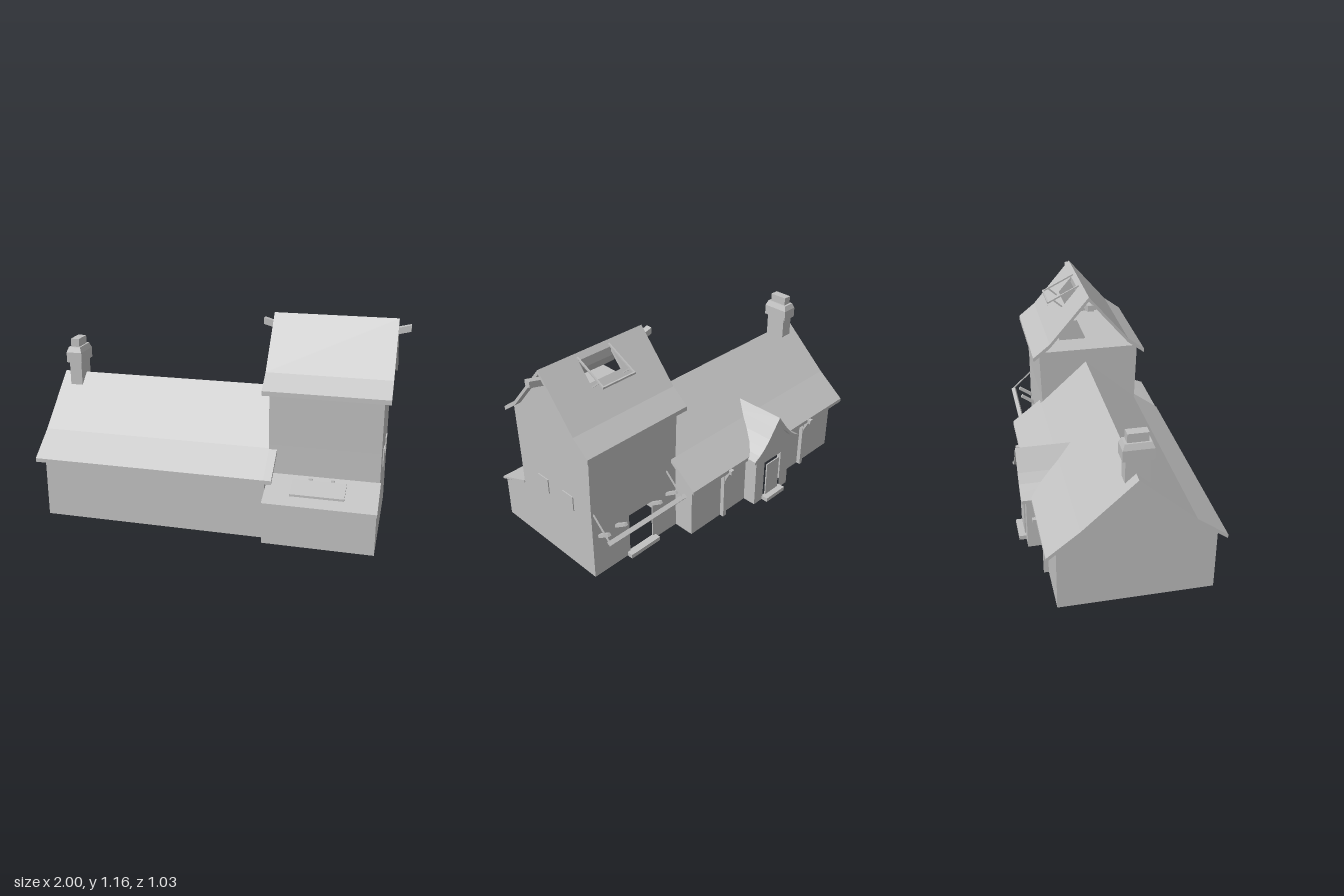
import * as THREE from 'three';

export function createModel() {
  const model = new THREE.Group();
  model.name = 'farmhouse';
  const stone = new THREE.MeshStandardMaterial({ color: 0xc0c0c0, side: THREE.DoubleSide });
  stone.name = 'plain grey';

  const add = (name, geo) => {
    const m = new THREE.Mesh(geo, stone);
    m.name = name;
    model.add(m);
    return m;
  };
  const shape = (pts) => new THREE.Shape(pts.map(([a, b]) => new THREE.Vector2(a, b)));
  const rect = (a0, a1, b0, b1) => [[a0, b0], [a1, b0], [a1, b1], [a0, b1]];
  const extrude = (pts, depth) => new THREE.ExtrudeGeometry(shape(pts), { depth, bevelEnabled: false });
  // box given by its limits
  const box = (name, x0, x1, y0, y1, z0, z1) => {
    const m = add(name, new THREE.BoxGeometry(x1 - x0, y1 - y0, z1 - z0));
    m.position.set((x0 + x1) / 2, (y0 + y1) / 2, (z0 + z1) / 2);
    return m;
  };
  // solid from a closed (z, y) outline, running from x0 to x1
  const alongX = (name, pts, x0, x1) =>
    add(name, extrude(pts.map(([z, y]) => [-z, y]), x1 - x0).rotateY(Math.PI / 2).translate(x0, 0, 0));
  // slab from an open (z, y) line, thickened by an offset
  const band = (name, pts, dz, dy, x0, x1) =>
    alongX(name, [...pts, ...pts.map(([z, y]) => [z + dz, y + dy]).reverse()], x0, x1);
  // thin wall standing across x, outline in (z, y)
  const sideWall = (name, x, pts) =>
    add(name, new THREE.ShapeGeometry(shape(pts.map(([z, y]) => [-z, y]))).rotateY(Math.PI / 2).translate(x, 0, 0));
  // thin wall facing front or back, outline in (x, y)
  const faceWall = (name, z, pts, hole) => {
    const s = shape(pts);
    if (hole) s.holes.push(shape(hole));
    add(name, new THREE.ShapeGeometry(s).translate(0, 0, z));
  };
  // square bar between two points
  const bar = (name, a, b, t) => {
    const p = new THREE.Vector3(...a), q = new THREE.Vector3(...b);
    const m = add(name, new THREE.BoxGeometry(t, t, p.distanceTo(q)));
    m.position.copy(p).lerp(q, 0.5);
    m.lookAt(q);
  };

  // long house
  const houseRoof = [[0.465, 0.355], [0.3, 0.475], [0, 0.74], [-0.28, 0.485], [-0.45, 0.352]];
  band('houseRoof', houseRoof, 0, -0.022, -1, 0.302);
  band('houseRoofFrontEnd', houseRoof.slice(0, 2), 0, -0.022, 0.302, 0.345);
  band('houseRoofBackEnd', houseRoof.slice(3), 0, -0.022, 0.302, 0.345);
  const gable = [[0.425, 0], [0.425, 0.365], [0.3, 0.46], [0, 0.725], [-0.28, 0.47], [-0.395, 0.38], [-0.395, 0]];
  sideWall('houseGableRight', -0.96, gable);
  sideWall('houseEndFront', 0.3, [[0.425, 0], [0.425, 0.365], [0.3, 0.46], [0.3, 0]]);
  sideWall('houseEndBack', 0.3, [[-0.27, 0], [-0.27, 0.475], [-0.395, 0.38], [-0.395, 0]]);
  faceWall('houseFrontWall', 0.425, rect(-0.96, 0.3, 0, 0.365));
  faceWall('houseBackWallRight', -0.395, rect(-0.96, -0.45, 0, 0.38));
  faceWall('houseBackWallLeft', -0.395, rect(-0.15, 0.3, 0, 0.38));

  // eave posts along the back
  for (const x of [-0.67, 0.05]) {
    box('eavePost', x - 0.012, x + 0.012, 0, 0.35, -0.42, -0.395);
    box('eaveBeam', x - 0.012, x + 0.012, 0.325, 0.35, -0.47, -0.395);
    bar('eaveBrace', [x, 0.26, -0.415], [x, 0.335, -0.45], 0.016);
  }

  // chimney
  const cx = -0.905, cz = 0.008;
  box('chimneyShaft', cx - 0.036, cx + 0.036, 0.67, 0.82, cz - 0.062, cz + 0.062);
  box('chimneyCollar', cx - 0.046, cx + 0.046, 0.815, 0.875, cz - 0.078, cz + 0.078);
  const shoulder = new THREE.BoxGeometry(0.092, 0.03, 0.156);
  const sp = shoulder.attributes.position;
  for (let i = 0; i < sp.count; i++)
    if (sp.getY(i) > 0) sp.setXYZ(i, sp.getX(i) * 0.75, sp.getY(i), sp.getZ(i) * 0.85);
  shoulder.computeVertexNormals();
  add('chimneyShoulder', shoulder.translate(cx, 0.89, cz));
  box('chimneyCap', cx - 0.025, cx + 0.025, 0.9, 0.952, cz - 0.053, cz + 0.053);

  // gabled porch with a flared roof
  const flare = [[0, 0.555], [0.04, 0.5], [0.08, 0.445], [0.12, 0.4], [0.16, 0.368], [0.2, 0.345]];
  const px = -0.3;
  const top = [...flare.slice(1).reverse().map(([x, y]) => [px - x, y]), ...flare.map(([x, y]) => [px + x, y])];
  add('porchRoof', extrude([...top, ...top.map(([x, y]) => [x, y - 0.02]).reverse()], 0.305).translate(0, 0, -0.505));
  const under = top.filter(([x]) => Math.abs(x - px) < 0.13).map(([x, y]) => [x, y - 0.012]);
  faceWall('porchFrontWall', -0.475,
    [[px - 0.15, 0], [px - 0.15, 0.36], ...under, [px + 0.15, 0.36], [px + 0.15, 0]],
    rect(px - 0.075, px + 0.075, 0.025, 0.265));
  for (const s of [-1, 1]) sideWall('porchSideWall', px + s * 0.15, rect(-0.475, -0.395, 0, 0.365));
  box('porchDoor', px - 0.055, px + 0.055, 0.025, 0.242, -0.48, -0.472);
  box('porchStep', px - 0.08, px + 0.08, 0, 0.025, -0.515, -0.47);

  // tower walls, with the lean-to ends in the same faces
  const leanEnd = [[0.3, 0.322], [0.485, 0.24], [0.485, 0]];
  const towerSide = [[-0.27, 0], [-0.27, 0.5], [-0.28, 0.82]];
  sideWall('towerGableLeft', 0.9,
    [...towerSide, [-0.22, 0.87], [0.015, 1.145], [0.25, 0.87], [0.315, 0.82], [0.305, 0.5], ...leanEnd]);
  sideWall('towerWallRight', 0.3, [...towerSide, [0.315, 0.82], [0.305, 0.5], ...leanEnd]);
  band('towerFrontWall', [[0.302, 0.3], [0.305, 0.5], [0.315, 0.83]], -0.008, 0, 0.3, 0.9);
  band('towerBackWall', [[-0.27, 0.27], [-0.27, 0.5], [-0.28, 0.83]], 0.008, 0, 0.3, 0.9);
  box('towerBackWallRight', 0.3, 0.48, 0, 0.27, -0.27, -0.262);
  box('towerBackWallLeft', 0.65, 0.9, 0, 0.27, -0.27, -0.262);
  box('towerStep', 0.46, 0.67, 0, 0.025, -0.305, -0.262);
  for (const z of [0.115, -0.09]) box('towerWindow', 0.899, 0.906, 0.37, 0.46, z - 0.042, z + 0.042);

  // attic floor with an opening
  const floor = shape(rect(0.3, 0.9, -0.315, 0.28));
  floor.holes.push(shape(rect(0.46, 0.75, -0.03, 0.13)));
  add('atticFloor', new THREE.ShapeGeometry(floor).rotateX(-Math.PI / 2).translate(0, 0.82, 0));

  // tower roof, split around the roof hatch
  const ridge = [0.015, 1.16], hatchTop = [-0.01, 1.131], hatchLow = [-0.09, 1.037];
  const kink = [-0.22, 0.885], eave = [-0.32, 0.805];
  band('towerRoofFront', [[0.35, 0.81], [0.25, 0.885], ridge], 0, -0.025, 0.265, 0.935);
  band('towerRoofBackRight', [ridge, kink, eave], 0, -0.025, 0.265, 0.5);
  band('towerRoofBackLeft', [ridge, kink, eave], 0, -0.025, 0.71, 0.935);
  band('towerRoofAboveHatch', [ridge, hatchTop], 0, -0.025, 0.5, 0.71);
  band('towerRoofBelowHatch', [hatchLow, kink, eave], 0, -0.025, 0.5, 0.71);

  // open hatch frame held up by props
  for (const x of [0.505, 0.708]) {
    bar('hatchRail', [x, 1.145, 0], [x, 1.052, -0.188], 0.009);
    bar('hatchProp', [x, 1.02, -0.105], [x, 1.064, -0.155], 0.008);
  }
  bar('hatchEndBar', [0.5, 1.052, -0.19], [0.714, 1.052, -0.19], 0.01);

  // ridge beam with upturned ends
  add('ridgeBeam', extrude([[0.21, 1.095], [0.28, 1.075], [0.92, 1.075], [1, 1.095],
    [1, 1.13], [0.92, 1.11], [0.28, 1.11], [0.21, 1.13]], 0.036).translate(0, 0, -0.003));

  // front lean-to
  faceWall('leanToFrontWall', 0.485, rect(0.3, 0.9, 0, 0.242));
  band('leanToRoof', [[0.515, 0.248], [0.3, 0.335]], 0, -0.014, 0.302, 0.905);
  band('leanToHatch', [[0.455, 0.288], [0.345, 0.33]], 0, -0.012, 0.44, 0.73);
  for (const x of [0.535, 0.655]) box('leanToHinge', x - 0.01, x + 0.01, 0.315, 0.335, 0.325, 0.345);

  // bracketed rail over the tower door
  for (const x of [0.37, 0.49, 0.74, 0.855]) bar('railBracket', [x, 0.255, -0.265], [x, 0.315, -0.35], 0.018);
  for (const x of [0.37, 0.885]) bar('railStay', [x, 0.415, -0.268], [x, 0.305, -0.385], 0.007);
  const rail = box('doorRail', 0.345, 0.89, 0.29, 0.305, -0.4, -0.375);
  rail.rotation.x = -0.6;

  return model;
}
